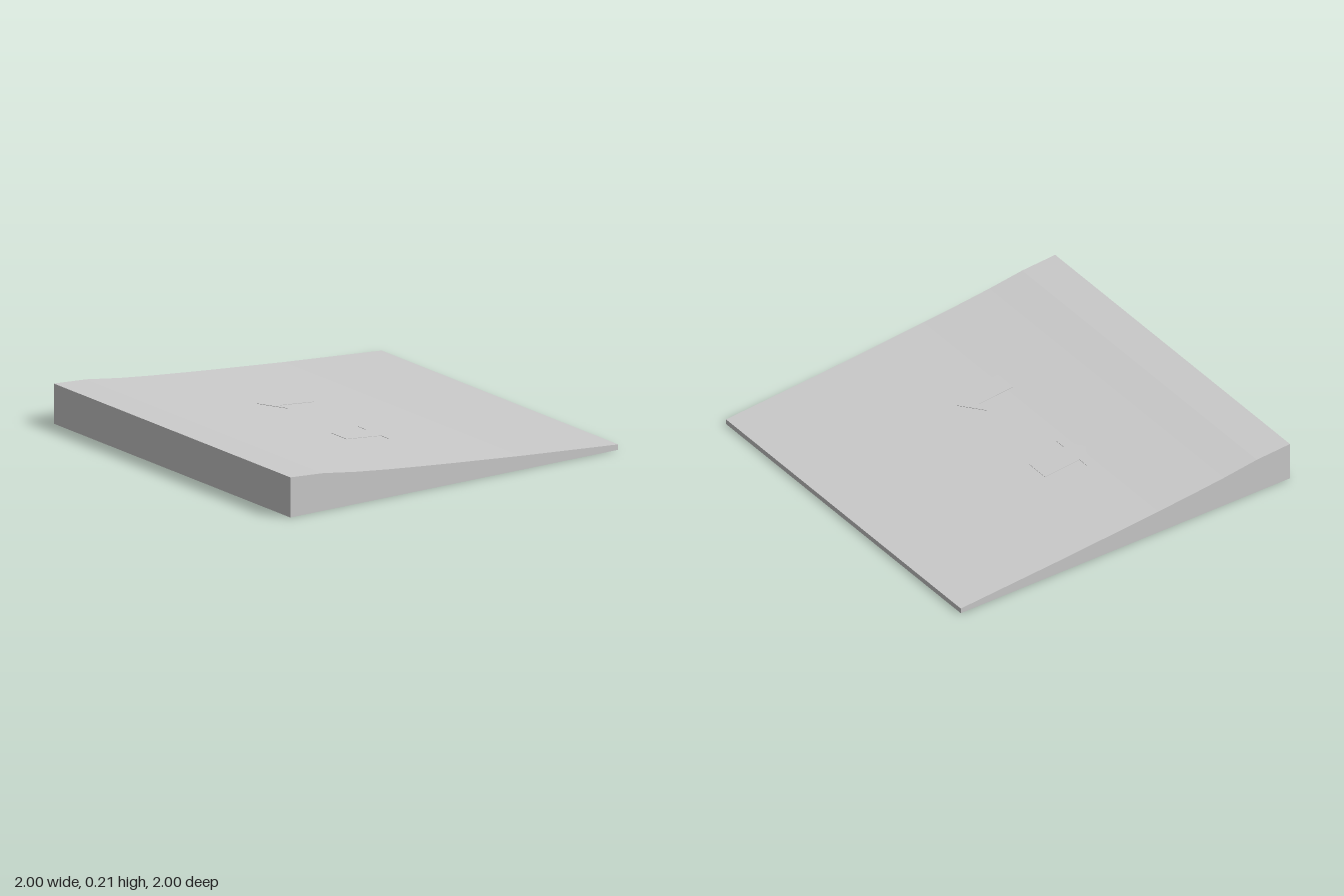
import * as THREE from 'three';

// Ramp surface: [x, height]
const PROFILE = [[-1, 0.207], [-0.8, 0.194], [-0.6, 0.166], [-0.4, 0.144], [-0.2, 0.125], [0, 0.107],
  [0.2, 0.09], [0.4, 0.073], [0.6, 0.058], [0.8, 0.043], [1, 0.028]];

function heightAt(x) {
  const i = Math.min(PROFILE.length - 2, Math.max(0, Math.floor((x + 1) / 0.2)));
  const [x0, y0] = PROFILE[i], [x1, y1] = PROFILE[i + 1];
  return y0 + (y1 - y0) * (x - x0) / (x1 - x0);
}

// Thin arrow laid on the slope; dir = +1 points downhill, -1 uphill
function arrow(name, z, dir, material) {
  const points = [[-0.15, 0.065], [0.06, 0.065], [0.06, 0.13], [0.15, 0],
    [0.06, -0.13], [0.06, -0.065], [-0.15, -0.065]];
  const shape = new THREE.Shape(points.map(([x, y]) => new THREE.Vector2(x, y)));
  const geometry = new THREE.ExtrudeGeometry(shape, { depth: 0.003, bevelEnabled: false });
  geometry.rotateX(-Math.PI / 2);
  if (dir < 0) geometry.rotateY(Math.PI);
  geometry.translate(-0.085, 0, z);
  // drape every corner onto the ramp
  const p = geometry.attributes.position;
  for (let i = 0; i < p.count; i++) p.setY(i, p.getY(i) + heightAt(p.getX(i)) - 0.001);
  geometry.computeVertexNormals();
  const mesh = new THREE.Mesh(geometry, material);
  mesh.name = name;
  return mesh;
}

export function createModel() {
  const group = new THREE.Group();
  group.name = 'ramp';
  const material = new THREE.MeshStandardMaterial({ color: 0xcccccc });

  // Solid wedge with a gently curved top
  const side = new THREE.Shape();
  side.moveTo(-1, 0);
  side.lineTo(1, 0);
  [...PROFILE].reverse().forEach(([x, y]) => side.lineTo(x, y));
  side.closePath();
  const wedge = new THREE.ExtrudeGeometry(side, { depth: 2, bevelEnabled: false });
  wedge.translate(0, 0, -1);
  const body = new THREE.Mesh(wedge, material);
  body.name = 'rampBody';
  group.add(body);

  // Opposing lane arrows
  group.add(arrow('downhillArrow', 0.35, 1, material));
  group.add(arrow('uphillArrow', -0.34, -1, material));
  return group;
}
